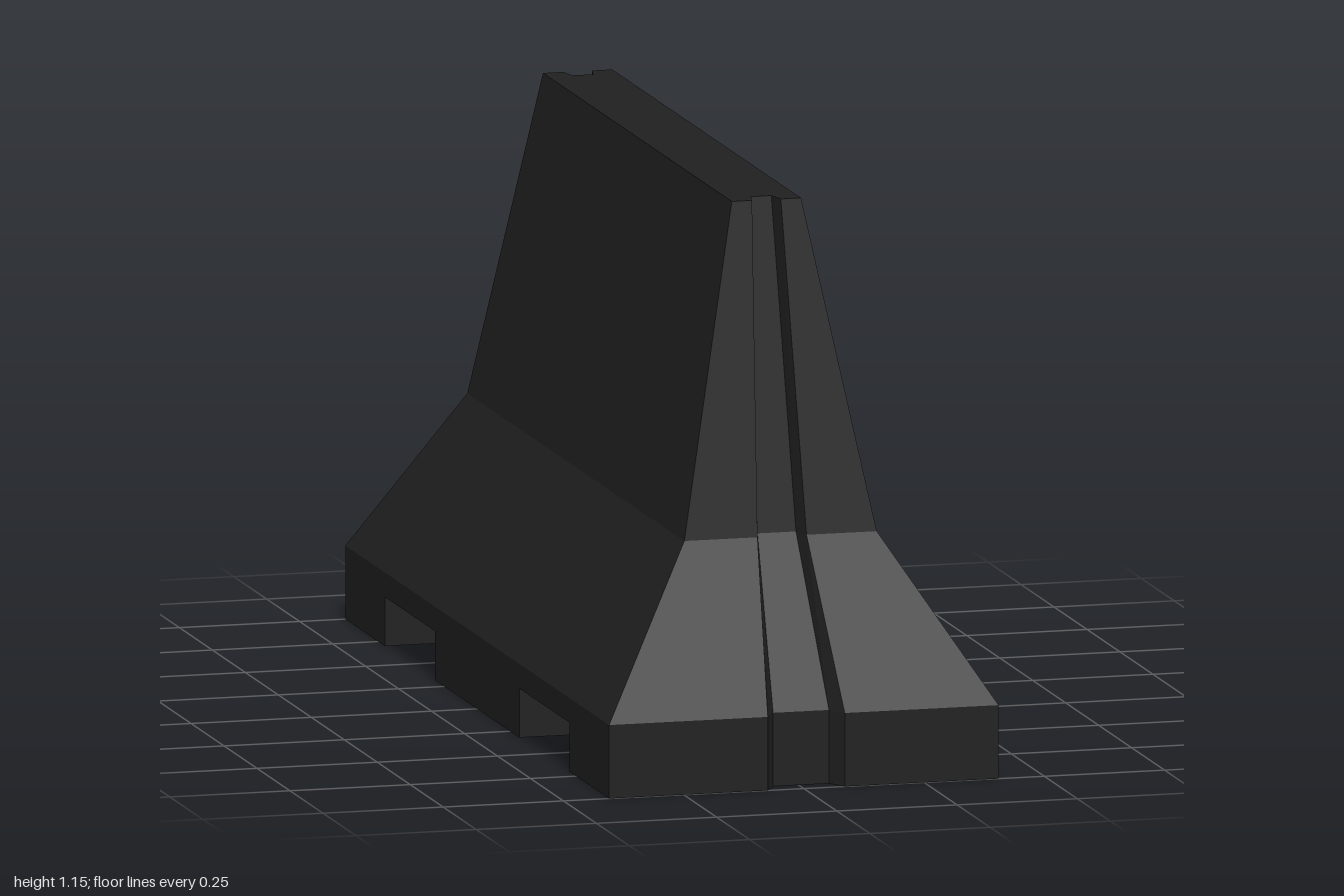
import * as THREE from 'three';

const concrete = new THREE.MeshStandardMaterial({ color: 0x202020, flatShading: true });

// Horizontal section: a rectangle with a tapered keyway in the middle of each end.
// w, l: half width and half length; o, i: outer and inner keyway half widths; d: depth; c: keyway offset in x
function section({ y, w, l, o, i, d, c = 0 }) {
  const end = [[-w, l], [c - o, l], [c - i, l - d], [c + i, l - d], [c + o, l], [w, l]];
  const back = end.map(([x, z]) => [x, -z]).reverse();
  return [...end, ...back].map(([x, z]) => new THREE.Vector3(x, y, z));
}

// Skins a stack of rings (anticlockwise from above) and closes the ends
function loft(name, rings, capTop = true) {
  const pos = [];
  const tri = (...corners) => corners.forEach((p) => pos.push(p.x, p.y, p.z));
  const n = rings[0].length;
  for (let r = 0; r < rings.length - 1; r++) {
    const a = rings[r], b = rings[r + 1];
    for (let k = 0; k < n; k++) {
      const m = (k + 1) % n;
      tri(a[k], a[m], b[m]);
      tri(a[k], b[m], b[k]);
    }
  }
  const cap = (ring, up) => {
    const flat = ring.map((p) => new THREE.Vector2(p.x, -p.z));
    for (const [a, b, c] of THREE.ShapeUtils.triangulateShape(flat, [])) {
      if (up) tri(ring[a], ring[b], ring[c]);
      else tri(ring[a], ring[c], ring[b]);
    }
  };
  cap(rings[0], false);
  if (capTop) cap(rings[rings.length - 1], true);
  const geometry = new THREE.BufferGeometry();
  geometry.setAttribute('position', new THREE.Float32BufferAttribute(pos, 3));
  geometry.computeVertexNormals();
  const mesh = new THREE.Mesh(geometry, concrete);
  mesh.name = name;
  return mesh;
}

export function createModel() {
  const group = new THREE.Group();
  group.name = 'concreteBarrier';

  const slotTop = 0.1, slotInner = 0.32, slotOuter = 0.7;
  const base = { w: 0.405, l: 1, o: 0.08, i: 0.058, d: 0.04, c: 0.005 };

  // Body: upright kerb, sloped skirt and steep wall, with keyways up both ends
  group.add(loft('body', [
    section({ y: slotTop, ...base }),
    section({ y: 0.15, ...base }),
    section({ y: 0.483, w: 0.2, l: 0.823, o: 0.051, i: 0.04, d: 0.04, c: 0.003 }),
    section({ y: 1.15, w: 0.072, l: 0.716, o: 0.03, i: 0.021, d: 0.04 }),
  ]));

  // Middle foot between the two lifting slots
  const middle = new THREE.Mesh(new THREE.BoxGeometry(base.w * 2, slotTop, slotInner * 2), concrete);
  middle.name = 'middleFoot';
  middle.position.y = slotTop / 2;
  group.add(middle);

  // End feet continue the keyways down to the ground
  const half = (y, front) => {
    const ring = section({ y, ...base });
    const v = (x, z) => new THREE.Vector3(x, y, z);
    return front
      ? [...ring.slice(0, 6), v(base.w, slotOuter), v(-base.w, slotOuter)]
      : [...ring.slice(6), v(-base.w, -slotOuter), v(base.w, -slotOuter)];
  };
  for (const front of [true, false]) {
    group.add(loft(front ? 'frontFoot' : 'backFoot', [half(0, front), half(slotTop, front)], false));
  }
  return group;
}
